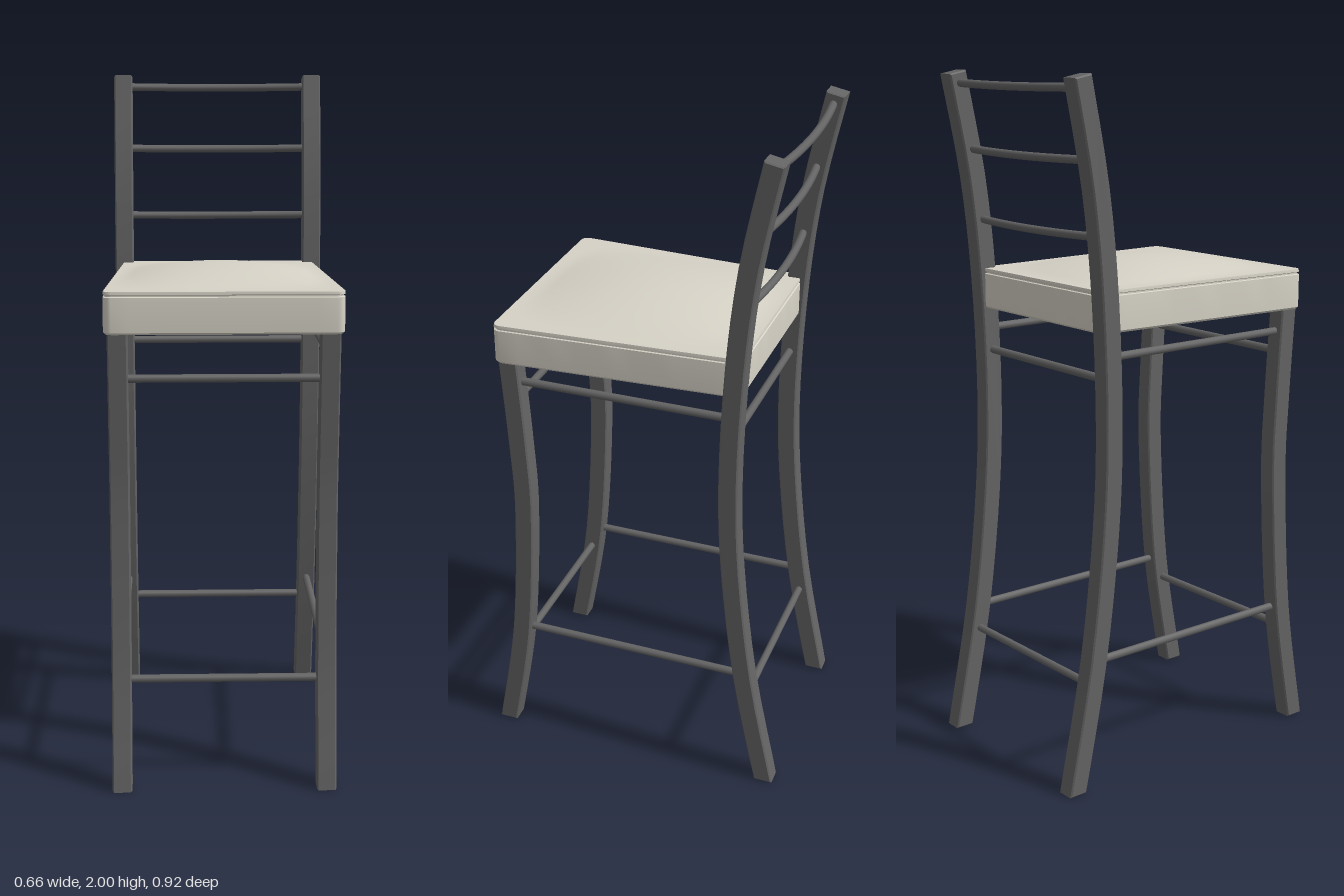
import * as THREE from 'three';
import { toCreasedNormals, mergeVertices } from 'three/addons/utils/BufferGeometryUtils.js';

const LEG = 0.056, LEG_X = 0.292, ROD = 0.0115;
const frameMat = new THREE.MeshStandardMaterial({ color: 0x646464 });
const seatMat = new THREE.MeshStandardMaterial({ color: 0xd6d2c6 });

// Leg centre lines in the side plane, as (z, y)
const spline = pts => new THREE.SplineCurve(pts.map(p => new THREE.Vector2(...p)));
const backLine = spline([[-0.43, 0], [-0.354, 0.375], [-0.308, 0.75], [-0.295, 1.05],
  [-0.307, 1.4], [-0.338, 1.7], [-0.396, 1.994]]);
const frontLine = spline([[0.43, 0], [0.366, 0.375], [0.338, 0.8], [0.345, 1.05], [0.364, 1.34]]);

// Depth of a leg's centre line at height y
function zAt(line, y) {
  let lo = 0, hi = 1;
  for (let i = 0; i < 24; i++) {
    const mid = (lo + hi) / 2;
    if (line.getPoint(mid).y < y) lo = mid; else hi = mid;
  }
  return line.getPoint(lo).x;
}

// Curved square leg: side outline extruded across x with softened edges
function legGeometry(line) {
  const n = 24, front = [], back = [];
  for (let i = 0; i <= n; i++) {
    const p = line.getPoint(i / n), t = line.getTangent(i / n);
    const normal = i === 0 ? new THREE.Vector2(1, 0) : new THREE.Vector2(t.y, -t.x);
    front.push(p.clone().addScaledVector(normal, LEG / 2));
    back.push(p.clone().addScaledVector(normal, -LEG / 2));
  }
  const bevel = 0.004;
  const g = new THREE.ExtrudeGeometry(new THREE.Shape([...front, ...back.reverse()]), {
    depth: LEG - 2 * bevel, bevelThickness: bevel, bevelSize: bevel, bevelOffset: -bevel, bevelSegments: 1,
  });
  g.translate(0, 0, -LEG / 2 + bevel).rotateY(-Math.PI / 2);
  return toCreasedNormals(g, 0.4);
}

// Round bar from a to b, optionally bowed backwards in the middle
function rod(name, a, b, bow = 0) {
  const A = new THREE.Vector3(...a), B = new THREE.Vector3(...b);
  const mid = A.clone().lerp(B, 0.5);
  mid.z -= bow * 2;
  mid.y -= bow * 0.3;
  const path = bow ? new THREE.QuadraticBezierCurve3(A, mid, B) : new THREE.LineCurve3(A, B);
  const mesh = new THREE.Mesh(new THREE.TubeGeometry(path, bow ? 20 : 1, ROD, 10), frameMat);
  mesh.name = name;
  return mesh;
}

// Tapered cushion: rounded-corner outline lofted up the sides, then domed over the top
function seatGeometry() {
  const zF = 0.4, zB = -0.32, zc = (zF + zB) / 2, hz = (zF - zB) / 2, r = 0.022;
  const halfWidth = z => THREE.MathUtils.mapLinear(z, zB, zF, 0.294, 0.33);
  const outline = [];
  const corners = [[1, 1], [1, -1], [-1, -1], [-1, 1]];
  corners.forEach(([sx, sz], k) => {
    const z0 = sz > 0 ? zF : zB, cx = sx * (halfWidth(z0) - r), cz = z0 - sz * r;
    for (let i = 0; i <= 5; i++) {
      const a = Math.PI / 2 * (1 - k - i / 5);
      outline.push([cx + r * Math.cos(a), cz + r * Math.sin(a)]);
    }
    // straight edge towards the next corner
    const [nx, nz] = corners[(k + 1) % 4], z1 = nz > 0 ? zF : zB;
    const from = outline[outline.length - 1];
    const a = -Math.PI / 2 * k;
    const to = [nx * (halfWidth(z1) - r) + r * Math.cos(a), z1 - nz * r + r * Math.sin(a)];
    for (let i = 1; i < 12; i++) {
      outline.push([0, 1].map(j => THREE.MathUtils.lerp(from[j], to[j], i / 12)));
    }
  });
  const dome = (x, z) => {
    const u = x / halfWidth(z), v = (z - zc) / hz;
    return 0.042 * Math.max(0, 1 - u * u) * Math.max(0, 1 - v * v);
  };
  // [scale, height, follows dome]; the notch near the rim forms the seam
  const rings = [[0, 1.31], [0.985, 1.31], [1, 1.316], [1, 1.412], [0.988, 1.414], [0.988, 1.418],
    [1, 1.42], [0.996, 1.428], [0.98, 1.431, 1]];
  for (let i = 1; i <= 12; i++) rings.push([0.98 * (1 - i / 12), 1.42, 1]);
  const pos = [], idx = [], n = outline.length;
  rings.forEach(([s, y, domed], j) => {
    outline.forEach(([x, z], i) => {
      const px = x * s, pz = zc + (z - zc) * s;
      pos.push(px, domed ? Math.max(1.428, 1.42 + dome(px, pz)) : y, pz);
      if (j === 0) return;
      const a = (j - 1) * n + i, b = (j - 1) * n + (i + 1) % n;
      idx.push(a, b, a + n, b, b + n, a + n);
    });
  });
  const g = new THREE.BufferGeometry();
  g.setAttribute('position', new THREE.Float32BufferAttribute(pos, 3));
  g.setIndex(idx);
  return toCreasedNormals(mergeVertices(g), 0.5);
}

export function createModel() {
  const model = new THREE.Group();
  model.name = 'barChair';

  // Legs; the back pair runs up to carry the backrest
  const frontGeo = legGeometry(frontLine), backGeo = legGeometry(backLine);
  for (const [side, sx] of [['left', 1], ['right', -1]]) {
    for (const [end, geo] of [['Front', frontGeo], ['Back', backGeo]]) {
      const leg = new THREE.Mesh(geo, frameMat);
      leg.name = `${side}${end}Leg`;
      leg.position.x = sx * LEG_X;
      model.add(leg);
    }
    // Side rails
    for (const [level, y] of [['Lower', 0.378], ['Upper', 1.245]]) {
      model.add(rod(`${side}${level}SideRail`,
        [sx * LEG_X, y, zAt(backLine, y)], [sx * LEG_X, y, zAt(frontLine, y)]));
    }
  }

  // Cross rails between the front and back pairs
  for (const [level, y] of [['Lower', 0.312], ['Upper', 1.182]]) {
    for (const [end, line] of [['front', frontLine], ['back', backLine]]) {
      const z = zAt(line, y);
      model.add(rod(`${end}${level}CrossRail`, [-LEG_X, y, z], [LEG_X, y, z]));
    }
  }

  // Bowed backrest bars
  for (const y of [1.573, 1.777, 1.964]) {
    const z = zAt(backLine, y) + 0.004;
    model.add(rod('backrestBar', [-LEG_X, y, z], [LEG_X, y, z], 0.021));
  }

  const seat = new THREE.Mesh(seatGeometry(), seatMat);
  seat.name = 'seatCushion';
  model.add(seat);
  return model;
}
